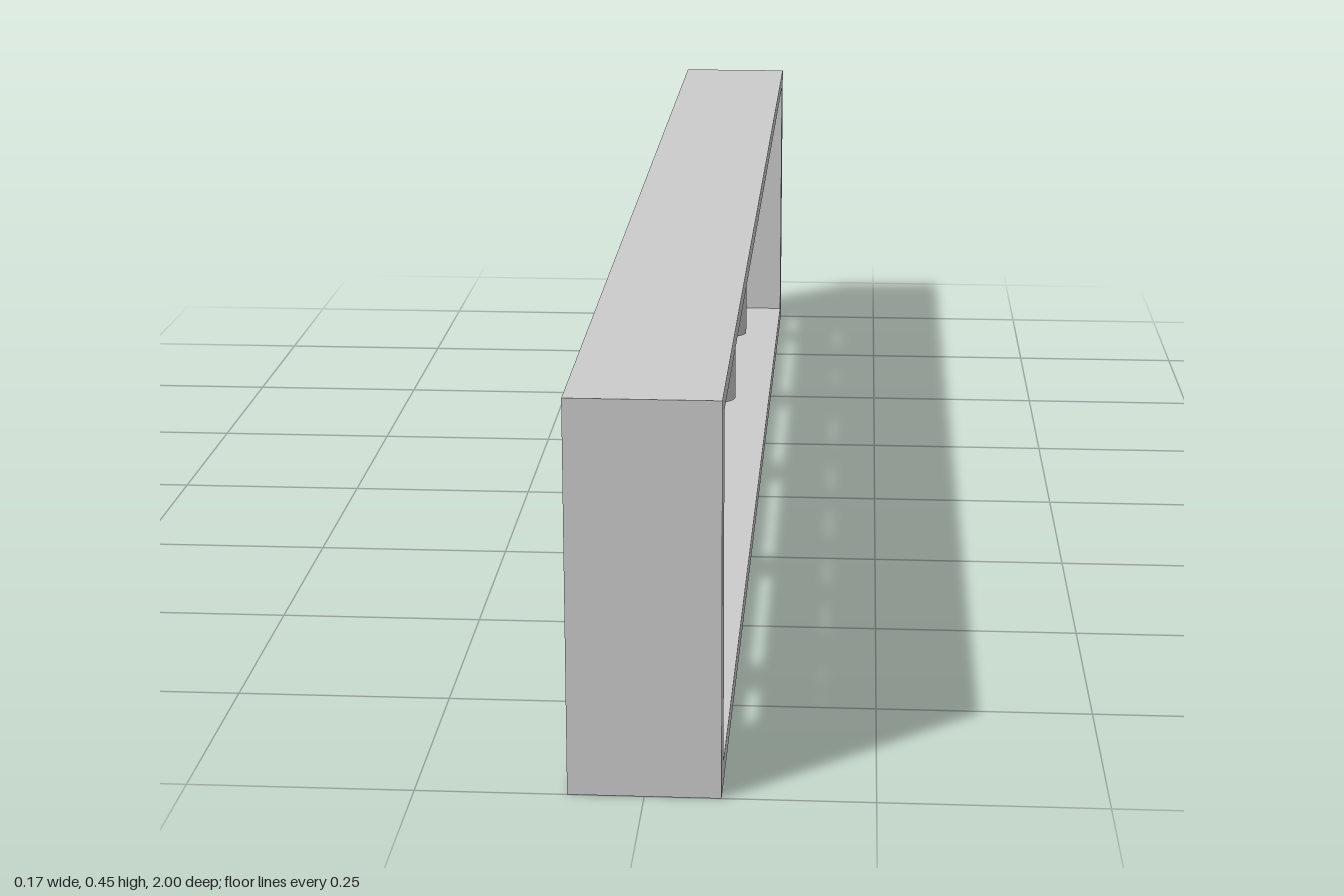
import * as THREE from 'three';

export function createModel() {
  const model = new THREE.Group();
  const material = new THREE.MeshStandardMaterial({ color: 0xcccccc });
  const add = (name, geometry) => {
    const mesh = new THREE.Mesh(geometry, material);
    mesh.name = name;
    model.add(mesh);
    return mesh;
  };

  // Rectangular frame: outline with an opening, extruded across the width
  const width = 0.167, height = 0.447;
  const rect = (path, x0, y0, x1, y1) =>
    path.moveTo(x0, y0).lineTo(x1, y0).lineTo(x1, y1).lineTo(x0, y1).closePath();
  const outline = new THREE.Shape();
  rect(outline, -1, 0, 1, height);
  const opening = new THREE.Path();
  rect(opening, -0.96, 0.025, 0.96, 0.425);
  outline.holes.push(opening);
  const frame = new THREE.ExtrudeGeometry(outline, { depth: width, bevelEnabled: false });
  frame.translate(0, 0, -width / 2);
  frame.rotateY(Math.PI / 2);
  add('frame', frame);

  // Horizontal rail running the length of the opening
  const radius = 0.031, railY = 0.234;
  const rail = add('rail', new THREE.CylinderGeometry(radius, radius, 1.92, 40));
  rail.rotation.x = Math.PI / 2;
  rail.position.y = railY;

  // Upright bars, slightly unevenly spaced
  const bottom = 0.03, top = 0.426;
  const bar = new THREE.CylinderGeometry(radius, radius, top - bottom, 40);
  [0.757, 0.377, -0.021, -0.39, -0.777].forEach((z, i) => {
    add(`bar${i + 1}`, bar).position.set(0, (top + bottom) / 2, z);
  });

  return model;
}
